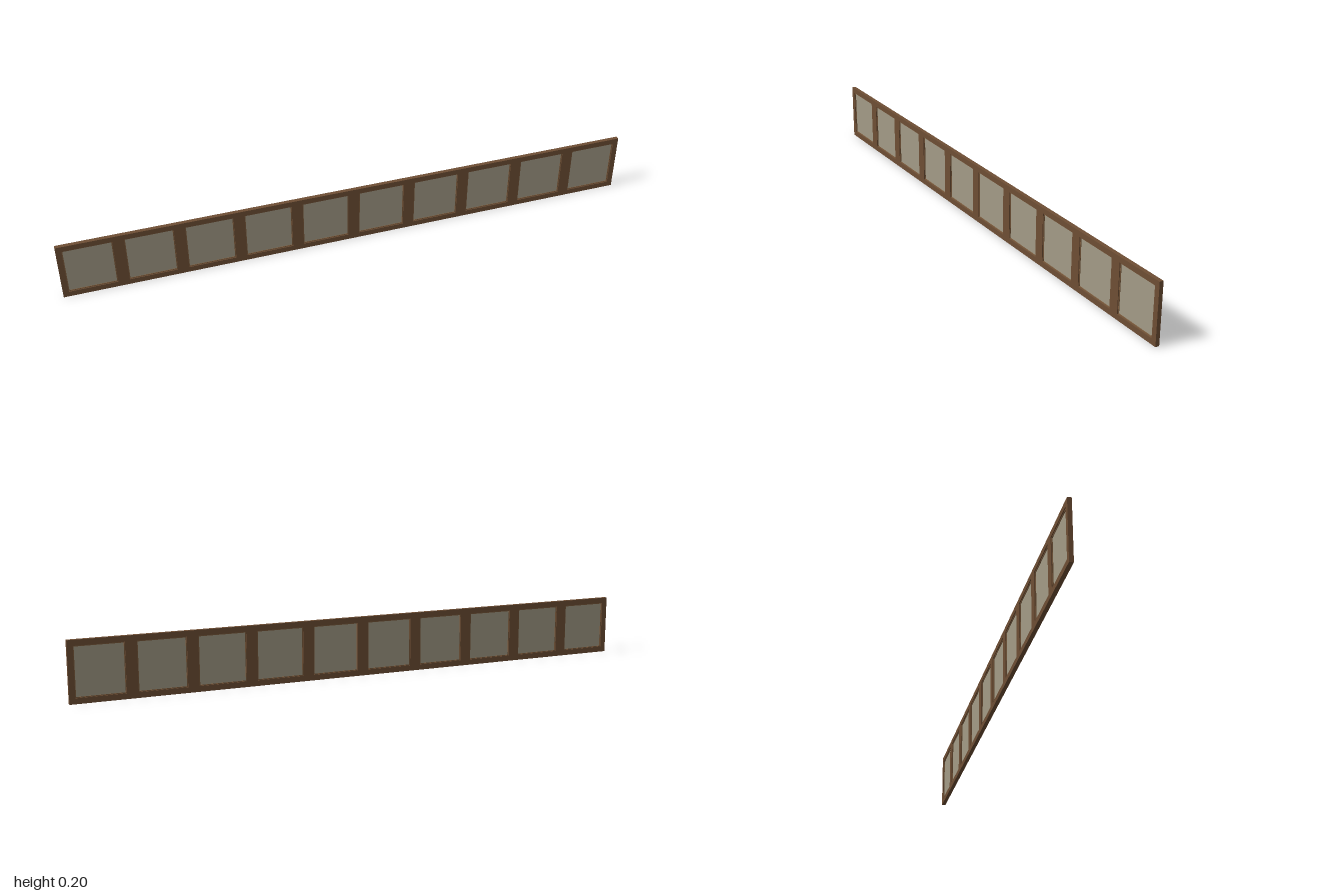
import * as THREE from 'three';

const COUNT = 10, W = 2 / COUNT, H = 0.205, D = 0.0135, BORDER = 0.019, BEAD = 0.003;

// Rectangular ring of the given outer size, centred in depth
function frameGeometry(w, h, border, depth) {
  const rect = (Type, a, b) => new Type([
    new THREE.Vector2(-a, -b), new THREE.Vector2(a, -b),
    new THREE.Vector2(a, b), new THREE.Vector2(-a, b),
  ]);
  const shape = rect(THREE.Shape, w / 2, h / 2);
  shape.holes.push(rect(THREE.Path, w / 2 - border, h / 2 - border));
  const geometry = new THREE.ExtrudeGeometry(shape, { depth, bevelEnabled: false });
  return geometry.translate(0, 0, -depth / 2);
}

export function createModel() {
  const model = new THREE.Group();
  model.name = 'windowRow';
  const wood = new THREE.MeshStandardMaterial({ color: 0x6e4e34 });
  const beadWood = new THREE.MeshStandardMaterial({ color: 0x7d5c3d });
  const glass = new THREE.MeshStandardMaterial({ color: 0xa39b86 });

  const openW = W - 2 * BORDER, openH = H - 2 * BORDER;
  const frame = frameGeometry(W, H, BORDER, D);
  const bead = frameGeometry(openW, openH, BEAD, D * 0.55);
  const pane = new THREE.BoxGeometry(openW - 2 * BEAD, openH - 2 * BEAD, 0.003);

  // Identical framed panes side by side
  for (let i = 0; i < COUNT; i++) {
    const unit = new THREE.Group();
    unit.name = `window${i + 1}`;
    unit.position.set(-1 + W * (i + 0.5), H / 2, 0);
    for (const [name, geometry, material] of [
      ['frame', frame, wood], ['glazingBead', bead, beadWood], ['pane', pane, glass],
    ]) {
      const mesh = new THREE.Mesh(geometry, material);
      mesh.name = name;
      unit.add(mesh);
    }
    model.add(unit);
  }
  return model;
}
